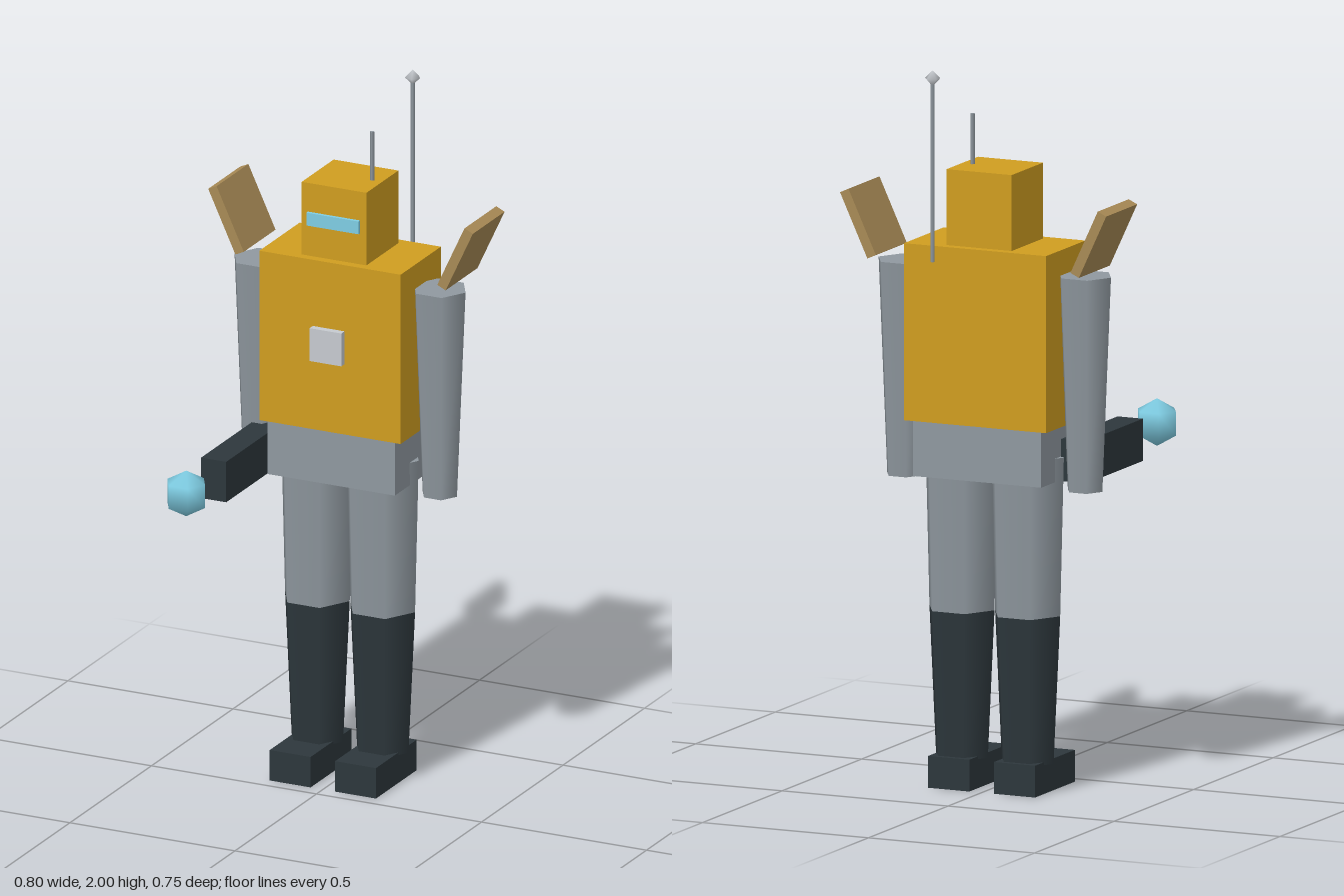
import * as THREE from 'three';

const mat = (name, color) => {
  const m = new THREE.MeshStandardMaterial({ color });
  m.name = name;
  return m;
};

export function createModel() {
  const yellow = mat('yellow armour', 0xcf9d20);
  const grey = mat('steel grey', 0x8f989f);
  const dark = mat('charcoal', 0x2d373c);
  const tan = mat('tan', 0xa88a55);
  const blue = mat('glow blue', 0x7fcde3);
  const silver = mat('silver', 0xc6cacf);

  const model = new THREE.Group();
  model.name = 'robot';

  const add = (name, geometry, material, x, y, z) => {
    const mesh = new THREE.Mesh(geometry, material);
    mesh.name = name;
    mesh.position.set(x, y, z);
    model.add(mesh);
    return mesh;
  };
  // Box given by its lower and upper limits on each axis
  const box = (name, material, [x0, x1], [y0, y1], [z0, z1]) =>
    add(name, new THREE.BoxGeometry(x1 - x0, y1 - y0, z1 - z0), material,
      (x0 + x1) / 2, (y0 + y1) / 2, (z0 + z1) / 2);
  // Tapered upright prism with a corner pointing along x
  const limb = (name, material, rTop, rBottom, y0, y1, x, z, sides = 6) =>
    add(name, new THREE.CylinderGeometry(rTop, rBottom, y1 - y0, sides, 1, false, Math.PI / 2),
      material, x, (y0 + y1) / 2, z);

  const Z = -0.206; // body centre line

  // Body and head
  box('torso', yellow, [-0.214, 0.214], [1.02, 1.51], [-0.33, -0.083]);
  box('hips', grey, [-0.193, 0.193], [0.865, 1.02], [-0.317, -0.09]);
  box('chestPanel', silver, [-0.048, 0.048], [1.227, 1.322], [-0.075, -0.055]);
  box('head', yellow, [-0.098, 0.098], [1.51, 1.72], [-0.304, -0.108]);
  box('visor', blue, [-0.079, 0.079], [1.6, 1.637], [-0.112, -0.098]);

  // Limbs and shoulder fins, mirrored
  for (const [side, s] of [['left', 1], ['right', -1]]) {
    limb(side + 'Arm', grey, 0.078, 0.052, 0.845, 1.44, s * 0.272, Z);
    limb(side + 'Thigh', grey, 0.109, 0.098, 0.49, 0.93, s * 0.099, Z);
    limb(side + 'Boot', dark, 0.098, 0.078, 0.08, 0.49, s * 0.099, Z);
    add(side + 'Foot', new THREE.BoxGeometry(0.124, 0.088, 0.25), dark, s * 0.099, 0.044, -0.164);
    const fin = add(side + 'ShoulderFin', new THREE.BoxGeometry(0.028, 0.195, 0.195), tan,
      s * 0.347, 1.555, -0.245);
    fin.rotation.z = -s * THREE.MathUtils.degToRad(25);
  }

  // Arm cannon and its energy orb
  box('armCannon', dark, [-0.273, -0.197], [0.863, 0.98], [-0.2, 0.155]);
  add('energyOrb', new THREE.SphereGeometry(0.066, 6, 3), blue, -0.235, 0.938, 0.323);

  // Antennas
  limb('headAntenna', grey, 0.007, 0.007, 1.7, 1.86, 0.067, Z, 4);
  limb('backAntenna', grey, 0.006, 0.006, 1.47, 1.98, 0.118, -0.352, 5);
  const tip = add('antennaTip', new THREE.SphereGeometry(0.022, 5, 2), silver, 0.118, 1.978, -0.352);
  tip.rotation.y = Math.PI;

  return model;
}
